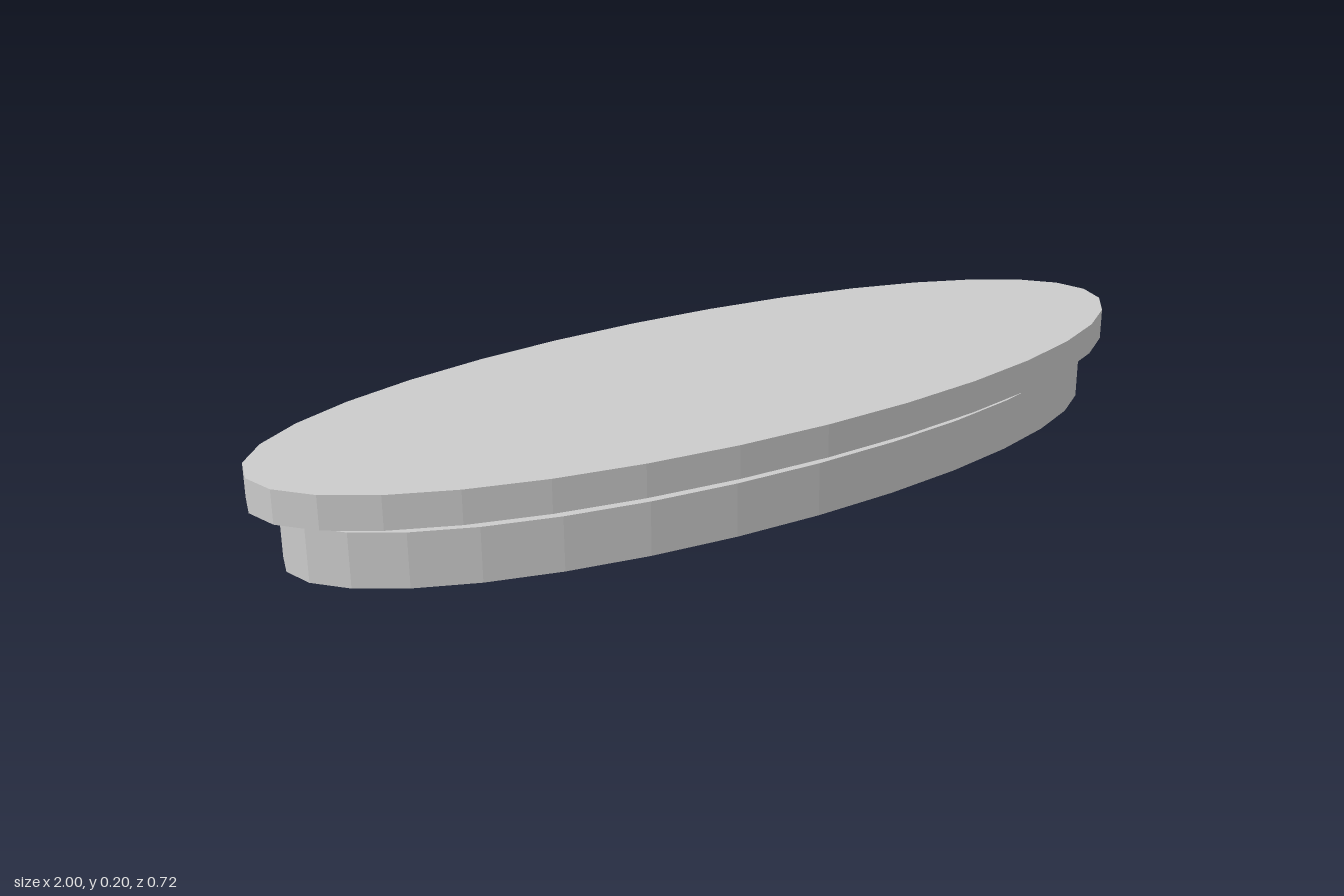
import * as THREE from 'three';

const material = new THREE.MeshStandardMaterial({ color: 0xcccccc, flatShading: true });

// Solid faceted oval slab, from height y0 to y1, with half-width rx and half-depth rz
function ovalSlab(name, rx, rz, y0, y1) {
  const geometry = new THREE.CylinderGeometry(1, 1, y1 - y0, 32);
  geometry.scale(rx, 1, rz);
  geometry.translate(0, (y0 + y1) / 2, 0);
  const mesh = new THREE.Mesh(geometry, material);
  mesh.name = name;
  return mesh;
}

export function createModel() {
  const model = new THREE.Group();
  model.name = 'ovalPlatform';
  // Thick lower base, and a wider, thinner plate floating just above it
  model.add(ovalSlab('base', 0.943, 0.332, 0, 0.109));
  model.add(ovalSlab('topPlate', 1, 0.358, 0.13, 0.197));
  return model;
}
